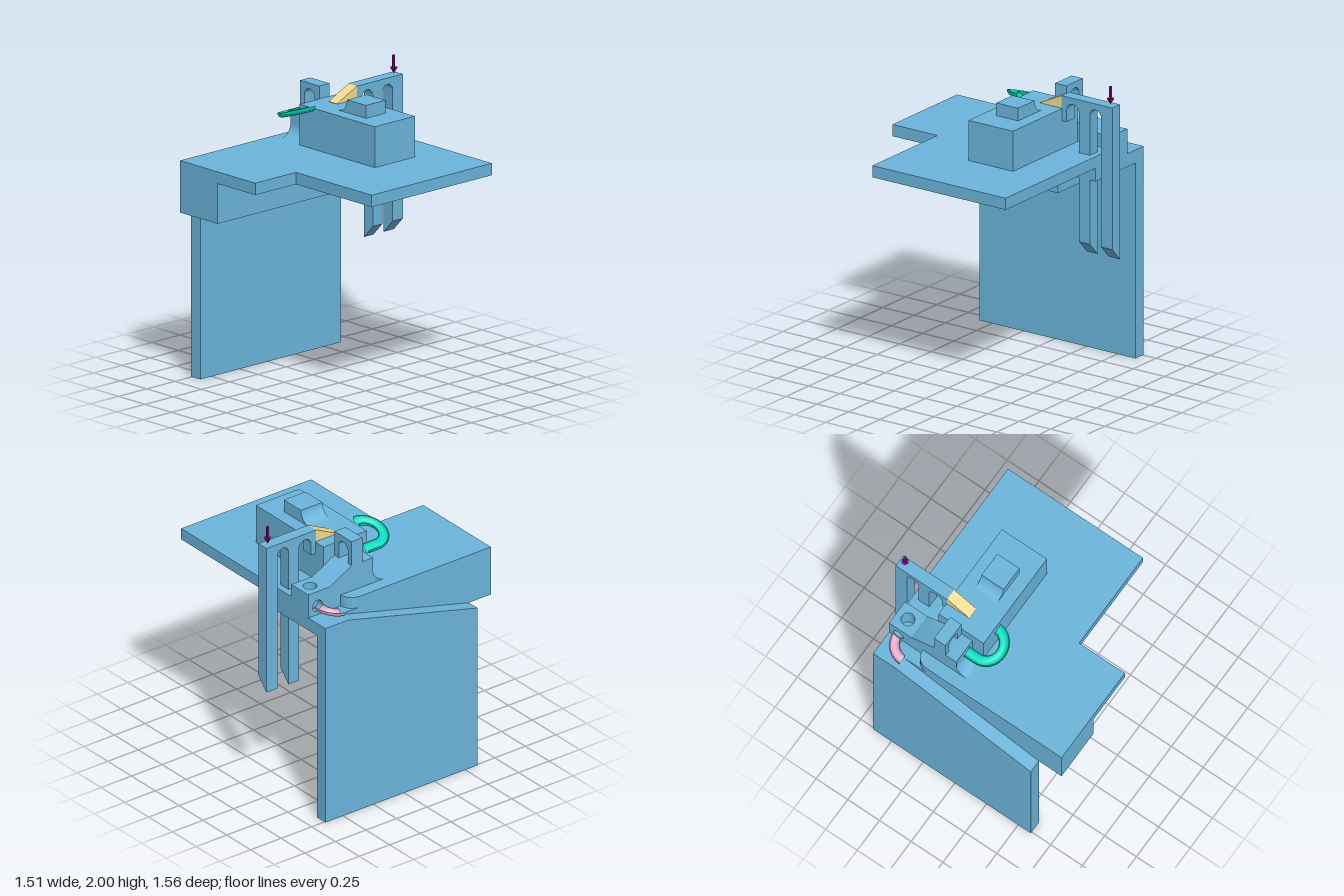
import * as THREE from 'three';
import { toCreasedNormals } from 'three/addons/utils/BufferGeometryUtils.js';
import { ParametricGeometry } from 'three/addons/geometries/ParametricGeometry.js';

const mat = (color, extra = {}) => new THREE.MeshStandardMaterial({ color, ...extra });
const blue = mat(0x6bb5dc), yellow = mat(0xf2dc92), purple = mat(0x8a0a86);
const teal = mat(0x08e0c2, { side: THREE.DoubleSide });
const pink = mat(0xe6b0d2, { side: THREE.DoubleSide });

export function createModel() {
  const model = new THREE.Group();

  const add = (name, geometry, material = blue) => {
    const mesh = new THREE.Mesh(toCreasedNormals(geometry, 0.6), material);
    mesh.name = name;
    model.add(mesh);
    return mesh;
  };
  const box = (name, x0, x1, y0, y1, z0, z1) =>
    add(name, new THREE.BoxGeometry(x1 - x0, y1 - y0, z1 - z0)
      .translate((x0 + x1) / 2, (y0 + y1) / 2, (z0 + z1) / 2));

  // Outline from corners [u, v] and arcs [cu, cv, radius, startAngle, endAngle, clockwise]
  const outline = (steps) => {
    const s = new THREE.Shape();
    steps.forEach((p, i) => {
      if (p.length > 2) s.absarc(...p);
      else if (i) s.lineTo(...p);
      else s.moveTo(...p);
    });
    return s;
  };
  const extrude = (shape, depth) =>
    new THREE.ExtrudeGeometry(shape, { depth, bevelEnabled: false, curveSegments: 16 });
  // Side profile: u = -z, v = y, spanning x0..x1
  const side = (shape, x0, x1) => extrude(shape, x1 - x0).rotateY(Math.PI / 2).translate(x0, 0, 0);
  // Plan: u = x, v = -z, spanning y0..y1
  const plan = (shape, y0, y1) => extrude(shape, y1 - y0).rotateX(-Math.PI / 2).translate(0, y0, 0);
  // Front profile: u = x, v = y, spanning z0..z1
  const front = (shape, z0, z1) => extrude(shape, z1 - z0).translate(0, 0, z0);
  const PI = Math.PI;

  // Side wall with a sloping top edge
  add('sideWall', side(outline([[-0.6, 0], [0.645, 0], [0.645, 1.43], [0.46, 1.43], [-0.6, 1.16]]), -0.76, -0.67));

  // Table top with a front notch, a rounded inner corner and a seat for the drop block
  add('tableTop', plan(outline([
    [-0.67, -0.78], [0.04, -0.78], [0.04, -0.42], [0.755, -0.42], [0.755, 0.645],
    [-0.4, 0.645], [-0.4, 0.47], [-0.58, 0.47], [-0.58, 0.38],
    [-0.58, 0.29, 0.09, PI / 2, PI, false],
  ]), 1.43, 1.51));

  // Supports under the table
  box('underBeam', -0.67, -0.315, 1.16, 1.43, -0.285, 0.78);
  box('rearFloor', -0.67, -0.23, 1.34, 1.43, -0.645, -0.285);

  // Main block with a small filleted stop on top
  box('mainBlock', -0.4, 0.31, 1.51, 1.785, -0.38, -0.025);
  add('topStop', front(outline([
    [-0.135, 1.785], [0.13, 1.785], [0.13, 1.872], [-0.048, 1.872],
    [-0.135, 1.872, 0.087, 0, -PI / 2, true],
  ]), -0.29, -0.115));

  // Ramp pedestal: back slope, flat ledge, fillet down to the table in front
  add('rampPedestal', side(outline([
    [0.47, 1.51], [0.47, 1.6], [0.29, 1.695], [0.115, 1.695], [0.115, 1.605],
    [0.02, 1.605, 0.095, 0, -PI / 2, true],
  ]), -0.58, -0.4));

  // Arched gate on the pedestal
  add('gate', front(outline([
    [-0.58, 1.695], [-0.54, 1.695], [-0.54, 1.785], [-0.4925, 1.785, 0.0475, PI, 0, true],
    [-0.445, 1.695], [-0.4, 1.695], [-0.4, 1.872], [-0.58, 1.872],
  ]), -0.29, -0.2));

  // Drop block: vertical shaft that opens to a round side outlet
  add('dropBlock', plan(outline([
    [-0.535, 0.47], [-0.4, 0.47], [-0.4, 0.645], [-0.535, 0.645], [-0.535, 0.56],
    [-0.49, 0.56, 0.045, PI, -PI, true],
  ]), 1.43, 1.6));
  const outlet = outline([[0.47, 1.43], [0.645, 1.43], [0.645, 1.6], [0.47, 1.6]]);
  outlet.holes.push(new THREE.Path().absarc(0.57, 1.495, 0.04, 0, 2 * PI, true));
  add('outletPlate', side(outlet, -0.58, -0.535));

  // Lifting fork: short prong and two long legs with bevelled feet
  const fork = side(outline([
    [0.375, 1.872], [0.375, 1.7], [0.415, 1.7], [0.415, 1.78], [0.465, 1.78, 0.05, PI, 0, true],
    [0.515, 0.81], [0.6, 0.81], [0.6, 1.785], [0.645, 1.785, 0.045, PI, 0, true],
    [0.69, 0.81], [0.78, 0.81], [0.78, 1.872],
  ]), -0.315, -0.23);
  const pos = fork.attributes.position;
  for (let i = 0; i < pos.count; i++) {
    if (pos.getY(i) < 1) pos.setY(i, 0.81 + (pos.getX(i) + 0.315) * 1.06);
  }
  fork.computeVertexNormals();
  add('liftFork', fork);

  // Wedge in front of the fork
  add('wedge', side(outline([[0.2, 1.783], [0.375, 1.783], [0.375, 1.872], [0.2, 1.788]]), -0.312, -0.232), yellow);

  // Half-pipe swept along path(t) = [x, z, outward x, outward z], rim at height(x, z, t)
  const trough = (name, path, height, material) => {
    const n = 16, outer = 0.036, inner = 0.03;
    add(name, new ParametricGeometry((s, t, out) => {
      const k = Math.round(s * (2 * n + 2)) % (2 * n + 2);
      const isOuter = k <= n;
      const a = PI * (isOuter ? k : 2 * n + 1 - k) / n;
      const r = isOuter ? outer : inner;
      const [px, pz, ox, oz] = path(t);
      const x = px + ox * r * Math.cos(a), z = pz + oz * r * Math.cos(a);
      out.set(x, height(x, z, t) - r * Math.sin(a), z);
    }, 2 * n + 2, 40), material);
  };

  // Tilted U-shaped channel from the main block round to the gate ledge
  trough('returnChannel', (t) => {
    if (t < 0.2) return [-0.49, -0.1 + 0.45 * t, -1, 0];
    const a = PI * (t - 0.2) / 0.8;
    return [-0.38 - 0.11 * Math.cos(a), -0.01 + 0.11 * Math.sin(a), -Math.cos(a), Math.sin(a)];
  }, (x) => 1.729 + 0.33 * (x + 0.49), teal);

  // Quarter-turn channel leading from the outlet to the sloping wall
  trough('outletChannel', (t) => {
    const a = t * PI / 2;
    return [-0.59 - 0.11 * Math.sin(a), -0.46 - 0.11 * Math.cos(a), -Math.sin(a), -Math.cos(a)];
  }, (x, z, t) => 1.505 - 0.03 * t, pink);

  // Push arrow above the fork
  add('arrowShaft', new THREE.CylinderGeometry(0.01, 0.01, 0.085, 6).translate(-0.27, 1.9575, -0.737), purple);
  add('arrowHead', new THREE.ConeGeometry(0.026, 0.04, 6).rotateX(PI).translate(-0.27, 1.898, -0.737), purple);

  return model;
}
